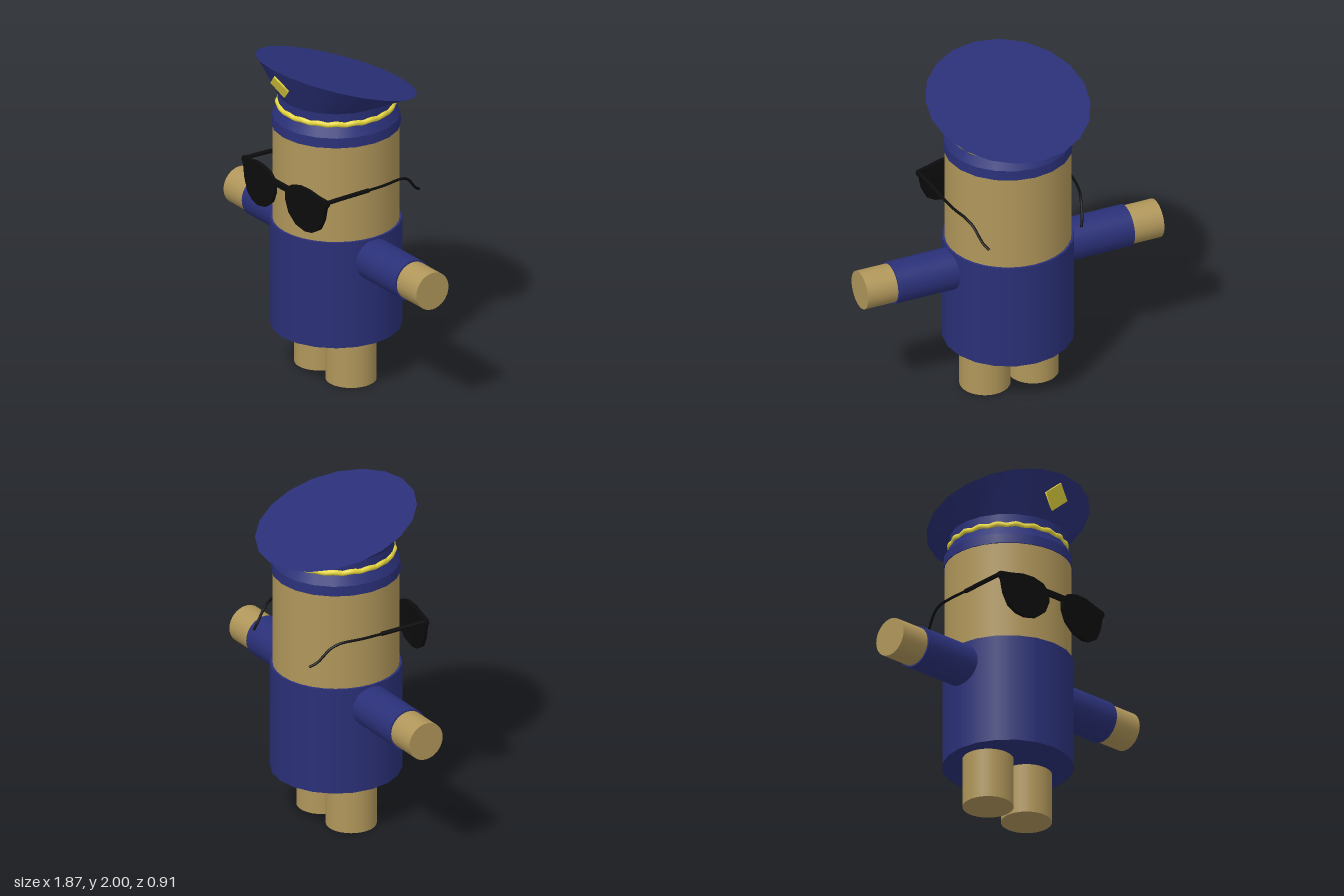
import * as THREE from 'three';

const mat = (color, side = THREE.FrontSide) => new THREE.MeshStandardMaterial({ color, side });

export function createModel() {
  const model = new THREE.Group();
  const navy = mat(0x2a3078), tan = mat(0xb0965a);
  const gold = mat(0xe8d840, THREE.DoubleSide), black = mat(0x0c0c0c);

  const add = (name, geometry, material, parent = model) => {
    const mesh = new THREE.Mesh(geometry, material);
    mesh.name = name;
    parent.add(mesh);
    return mesh;
  };
  // upright cylinder or cone section between two heights
  const column = (name, rBottom, rTop, y0, y1, material, sides = 20, parent = model) => {
    const mesh = add(name, new THREE.CylinderGeometry(rTop, rBottom, y1 - y0, sides), material, parent);
    mesh.position.y = (y0 + y1) / 2;
    return mesh;
  };

  // body
  column('head', 0.365, 0.365, 0.93, 1.57, tan, 32);
  column('jacket', 0.38, 0.38, 0.3, 0.96, navy);
  column('rightLeg', 0.147, 0.147, 0, 0.32, tan, 32).position.x = -0.158;
  column('leftLeg', 0.147, 0.147, 0, 0.32, tan, 32).position.x = 0.146;

  // arms
  for (const [side, s] of [['left', 1], ['right', -1]]) {
    for (const [part, r, x0, x1, m] of [['Sleeve', 0.124, 0.3, 0.745, navy], ['Hand', 0.114, 0.7, 0.935, tan]]) {
      const arm = add(side + part, new THREE.CylinderGeometry(r, r, x1 - x0, 32), m);
      arm.rotation.z = -s * Math.PI / 2;
      arm.position.set(s * (x0 + x1) / 2, 0.825, 0);
    }
  }

  // cap
  const cap = new THREE.Group();
  cap.name = 'cap';
  model.add(cap);
  column('capRim', 0.373, 0.37, 1.55, 1.61, navy, 20, cap);
  column('capSlope', 0.37, 0.335, 1.61, 1.675, navy, 20, cap);
  column('capBand', 0.335, 0.335, 1.675, 1.75, navy, 20, cap);

  // flared crown with its top ring tilted down to the back
  const crown = new THREE.CylinderGeometry(0.48, 0.335, 1, 20);
  const p = crown.attributes.position;
  for (let i = 0; i < p.count; i++) {
    const z = p.getZ(i);
    if (p.getY(i) > 0) p.setXYZ(i, p.getX(i), 1.855 + 0.302 * z, z * 0.953);
    else p.setY(i, 1.747);
  }
  crown.computeVertexNormals();
  add('capCrown', crown, navy, cap);

  // scalloped braid
  const braidPoints = [];
  for (let i = 0; i < 80; i++) {
    const a = i / 80 * Math.PI * 2, w = Math.cos(a * 20);
    const r = 0.331 + 0.003 * w;
    braidPoints.push(new THREE.Vector3(Math.sin(a) * r, 1.681 + 0.004 * w, Math.cos(a) * r));
  }
  add('capBraid', new THREE.TubeGeometry(new THREE.CatmullRomCurve3(braidPoints, true), 160, 0.017, 8, true), gold, cap);

  // diamond badge lying on the sloping crown front
  const badge = add('badge', new THREE.CylinderGeometry(0.084, 0.084, 0.012, 4), gold, cap);
  badge.rotation.x = Math.PI / 2 + Math.atan2(0.122, 0.253);
  badge.position.set(0, 1.876, 0.4);

  // sunglasses
  const glasses = new THREE.Group();
  glasses.name = 'sunglasses';
  model.add(glasses);
  const outline = [[0.055, 1.25], [0.1, 1.295], [0.17, 1.314], [0.25, 1.314], [0.33, 1.298], [0.41, 1.288],
    [0.413, 1.262], [0.396, 1.245], [0.38, 1.165], [0.345, 1.095], [0.29, 1.06], [0.23, 1.05],
    [0.15, 1.068], [0.085, 1.12], [0.055, 1.19]];
  // wrap the front around the face
  const bend = (g) => {
    const q = g.attributes.position;
    for (let i = 0; i < q.count; i++) q.setZ(i, q.getZ(i) + 0.378 - 0.2 * q.getX(i) ** 2);
    g.computeVertexNormals();
    return g;
  };
  for (const [side, s] of [['left', 1], ['right', -1]]) {
    const shape = new THREE.Shape(outline.map(([x, y]) => new THREE.Vector2(s * x, y)));
    add(side + 'Lens', bend(new THREE.ExtrudeGeometry(shape, { depth: 0.024, bevelEnabled: false })), black, glasses);

    // temple arm: thick at the hinge, thin and hooked at the ear
    const path = (pts) => new THREE.CatmullRomCurve3(pts.map(([x, y, z]) => new THREE.Vector3(s * x, y, z)));
    add(side + 'Hinge', new THREE.TubeGeometry(path([[0.4, 1.277, 0.36], [0.395, 1.277, 0.27], [0.385, 1.273, 0.05]]), 12, 0.013, 8), black, glasses);
    add(side + 'Temple', new THREE.TubeGeometry(path([[0.387, 1.273, 0.08], [0.379, 1.273, -0.08], [0.358, 1.27, -0.2],
      [0.34, 1.245, -0.26], [0.312, 1.165, -0.335], [0.29, 1.138, -0.375]]), 32, 0.008, 8), black, glasses);
  }
  const bridge = new THREE.BoxGeometry(0.15, 0.032, 0.024, 6, 1, 1);
  bridge.translate(0, 1.255, 0.012);
  add('bridge', bend(bridge), black, glasses);

  return model;
}
